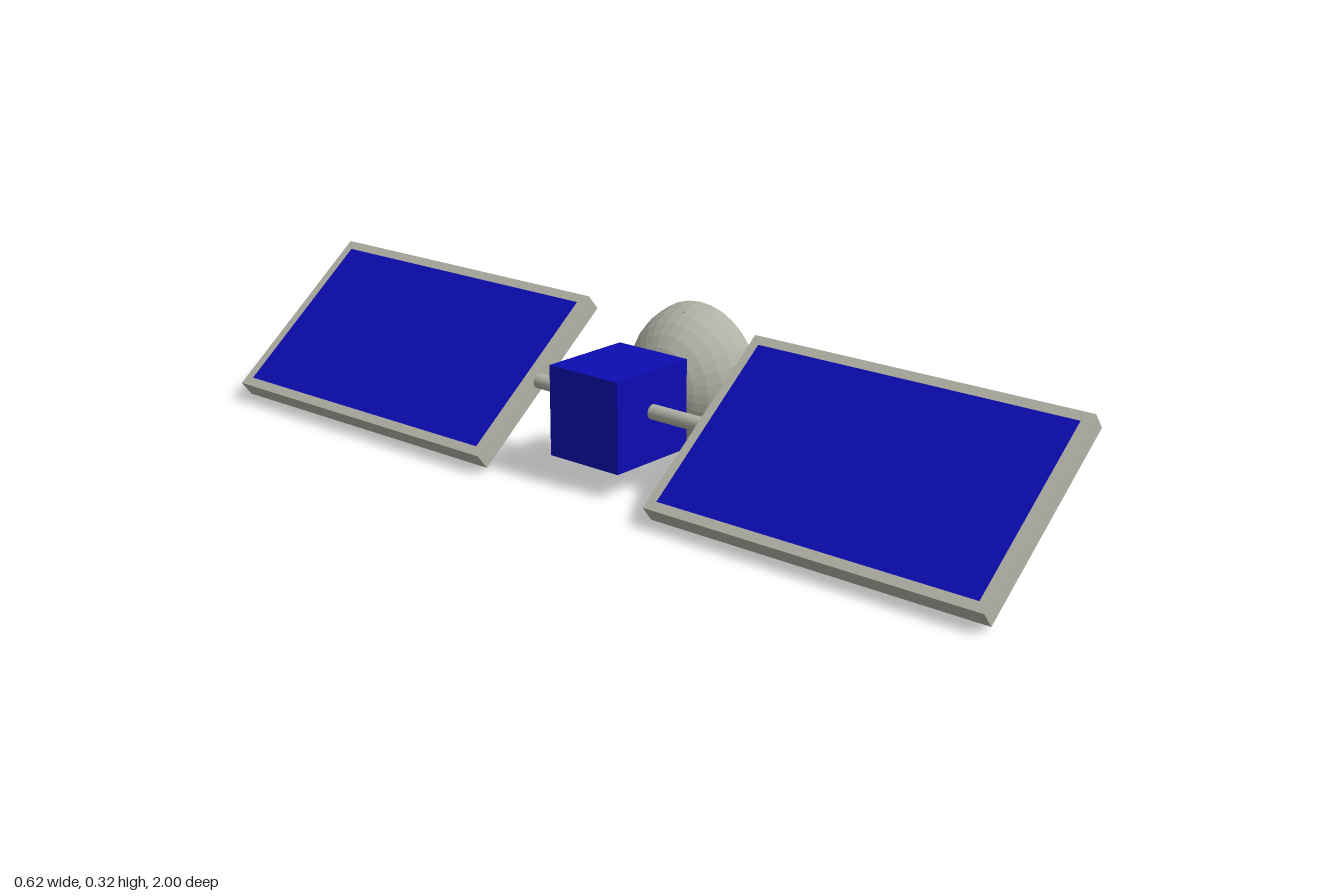
import * as THREE from 'three';

const grey = new THREE.MeshStandardMaterial({ color: 0xb3b2a7 });
grey.name = 'panelGrey';
const dishGrey = grey.clone();
dishGrey.name = 'dishGrey';
dishGrey.flatShading = true;
const blue = new THREE.MeshStandardMaterial({ color: 0x0c0cb2 });
blue.name = 'solarBlue';
const yellow = new THREE.MeshStandardMaterial({ color: 0xcccc14 });
yellow.name = 'feedYellow';

const MID = 0.163; // height of the main axis
const BODY_X = -0.125;

function mesh(name, geometry, material, x = 0, y = 0, z = 0) {
  const m = new THREE.Mesh(geometry, material);
  m.name = name;
  m.position.set(x, y, z);
  return m;
}

// cylinder running between two points
function rod(name, a, b, radius, material, sides) {
  const dir = b.clone().sub(a);
  const m = mesh(name, new THREE.CylinderGeometry(radius, radius, dir.length(), sides), material);
  m.position.copy(a).add(b).multiplyScalar(0.5);
  m.quaternion.setFromUnitVectors(new THREE.Vector3(0, 1, 0), dir.normalize());
  return m;
}

function rectangle(PathType, w, l) {
  return new PathType([[-w, -l], [w, -l], [w, l], [-w, l]].map(([x, y]) => new THREE.Vector2(x / 2, y / 2)));
}

// tilted frame with a flush cell sheet visible on both faces
function solarPanel(name, z) {
  const width = 0.44, length = 0.773, thick = 0.041, border = 0.021;
  const panel = new THREE.Group();
  panel.name = name;
  const outline = rectangle(THREE.Shape, width, length);
  outline.holes.push(rectangle(THREE.Path, width - 2 * border, length - 2 * border));
  const frame = new THREE.ExtrudeGeometry(outline, { depth: thick, bevelEnabled: false });
  frame.translate(0, 0, -thick / 2).rotateX(-Math.PI / 2);
  panel.add(mesh('panelFrame', frame, grey));
  panel.add(mesh('solarCells', new THREE.BoxGeometry(width - 2 * border, thick, length - 2 * border), blue));
  panel.position.set(BODY_X, MID, z);
  panel.rotation.z = THREE.MathUtils.degToRad(38.2);
  return panel;
}

// hollow bowl opening towards +x
function dish() {
  const points = [], rings = 8;
  const arc = (r, angle) => new THREE.Vector2(r * Math.sin(angle), -r * Math.cos(angle));
  for (let i = 0; i <= rings; i++) points.push(arc(0.161, (i / rings) * 1.484));
  points.push(new THREE.Vector2(0.157, -0.01));
  for (let i = rings; i >= 0; i--) points.push(arc(0.15, (i / rings) * 1.504));
  points[0].x = points[points.length - 1].x = 0;
  const geometry = new THREE.LatheGeometry(points, 32).rotateZ(-Math.PI / 2);
  return mesh('dish', geometry, dishGrey, 0.149, MID, 0);
}

export function createModel() {
  const model = new THREE.Group();
  model.name = 'satellite';

  model.add(mesh('body', new THREE.BoxGeometry(0.214, 0.194, 0.184), blue, BODY_X, 0.153, 0));

  // panels and their shafts, one pair per side
  for (const [side, s] of [['front', 1], ['back', -1]]) {
    model.add(solarPanel(side + 'SolarPanel', s * 0.6135));
    model.add(rod(side + 'Shaft', new THREE.Vector3(BODY_X, MID, s * 0.08),
      new THREE.Vector3(BODY_X, MID, s * 0.235), 0.016, grey, 24));
  }

  // dish with a feed held by three struts
  model.add(dish());
  const feed = new THREE.Vector3(0.298, MID, 0);
  for (let i = 0; i < 3; i++) {
    const a = (i * Math.PI * 2) / 3;
    const foot = new THREE.Vector3(0.082, MID + 0.145 * Math.cos(a), 0.145 * Math.sin(a));
    model.add(rod('feedStrut', foot, feed, 0.0053, grey, 12));
  }
  model.add(mesh('feed', new THREE.SphereGeometry(0.0105, 20, 14), yellow, feed.x, feed.y, 0));

  return model;
}
